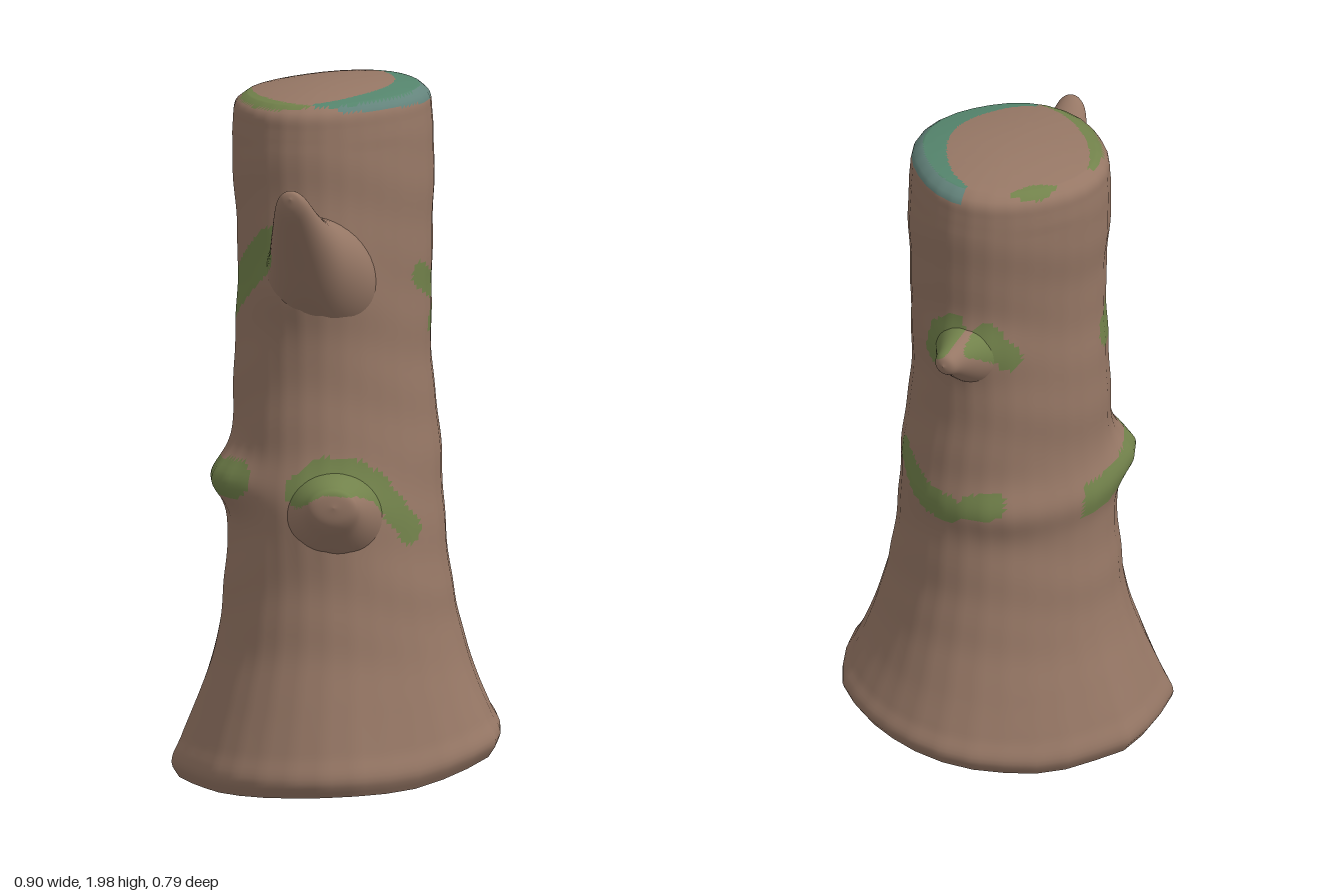
import * as THREE from 'three';

const mat = (name, color) => {
  const m = new THREE.MeshStandardMaterial({ color });
  m.name = name;
  return m;
};
const V = (x, y, z) => new THREE.Vector3(x, y, z);
const BARK = 0, MOSS = 1, TEAL = 2, GREY = 3, DEEP = 4, OLIVE = 5, DARK = 6;

// Trunk extents: y, min x, max x, min z, max z
const ROWS = [
  [0, -.43, .425, -.375, .355], [.04, -.45, .447, -.395, .375], [.12, -.428, .422, -.377, .357],
  [.25, -.39, .378, -.345, .33], [.4, -.35, .338, -.31, .30], [.6, -.327, .302, -.287, .277],
  [.8, -.314, .287, -.272, .25], [1, -.302, .282, -.267, .226], [1.2, -.292, .262, -.27, .212],
  [1.5, -.282, .264, -.262, .207], [1.9, -.287, .27, -.288, .20],
  [1.95, -.277, .26, -.278, .19], [1.97, -.252, .237, -.254, .17],
];
const extents = new THREE.CubicInterpolant(ROWS.map(r => r[0]), ROWS.flatMap(r => r.slice(1)), 4);

// Irregular root outline, as radius by angle in a unit box
const ROOT = [
  [-.45, -.17], [-.43, -.22], [-.33, -.28], [-.3, -.36], [-.2, -.37], [-.08, -.395], [.1, -.38],
  [.26, -.335], [.34, -.27], [.4, -.18], [.445, -.04], [.445, .09], [.4, .18], [.325, .305], [.235, .345],
  [0, .375], [-.19, .365], [-.4, .19], [-.445, -.05],
].map(([x, z]) => {
  const a = (x + .0025) / .4475, b = (z + .01) / .385;
  return [Math.atan2(b, a), Math.hypot(a, b)];
}).sort((p, q) => p[0] - q[0]);
function rootRadius(angle) {
  const t = Math.atan2(Math.sin(angle), Math.cos(angle)), n = ROOT.length;
  let k = ROOT.findIndex(p => p[0] > t);
  if (k < 0) k = n;
  const p = k === 0 ? [ROOT[n - 1][0] - 2 * Math.PI, ROOT[n - 1][1]] : ROOT[k - 1];
  const q = k === n ? [ROOT[0][0] + 2 * Math.PI, ROOT[0][1]] : ROOT[k];
  return p[1] + (q[1] - p[1]) * (t - p[0]) / (q[0] - p[0]);
}

// Knots swelling out of the trunk: direction, height, size, angular and vertical spread
const KNOTS = [
  [-1, -.2, .88, .065, .45, .07], [-.5, -.85, .86, .025, .5, .07], [.3, -1, .88, .03, .5, .08],
  [1, -.3, .9, .012, .5, .08], [.7, -.75, 1.42, .03, .45, .1], [-.6, .75, 1.45, .045, .55, .14],
  [-.46, .89, .8, .035, .5, .12],
].map(([x, z, ...rest]) => [Math.atan2(z, x), ...rest]);

function trunkPoint(angle, y, s) {
  const [x0, x1, z0, z1] = extents.evaluate(y);
  const c = Math.cos(angle), n = Math.sin(angle);
  const round = Math.pow(Math.abs(c) ** 2.3 + Math.abs(n) ** 2.3, -1 / 2.3);
  let r = THREE.MathUtils.lerp(rootRadius(angle), round, THREE.MathUtils.smoothstep(y, .03, .4));
  for (const [a, h, amp, wa, wy] of KNOTS) {
    const d = Math.atan2(Math.sin(angle - a), Math.cos(angle - a)) / wa;
    r += amp / .28 * Math.exp(-d * d - ((y - h) / wy) ** 2);
  }
  r += .005 * Math.sin(y * 33 + 2 * Math.sin(angle * 2)) * THREE.MathUtils.smoothstep(y, .2, .6) * (y < 1.85 ? 1 : 0);
  const x = (x0 + x1) / 2 + (x1 - x0) / 2 * r * c * s;
  const z = (z0 + z1) / 2 + (z1 - z0) / 2 * r * n * s;
  // sloping foot and slightly domed, tilted top
  const foot = (.012 + .1 * Math.pow(Math.max(0, x) / .44, 1.25) + .015 * (z / .38) ** 2) * Math.max(0, 1 - y / .6);
  const top = Math.max(0, (y - 1.7) / .27) * .05 * x + .025 * (1 - s * s);
  return V(x, y + foot + top, z);
}

// A ring of flat facets, each split finely so colours can cross it
const FACETS = 30, SPLIT = 4;
function ring(y, s) {
  const corners = Array.from({ length: FACETS }, (_, j) => trunkPoint(j / FACETS * Math.PI * 2, y, s));
  return corners.flatMap((p, j) => Array.from({ length: SPLIT }, (_, k) =>
    p.clone().lerp(corners[(j + 1) % FACETS], k / SPLIT)));
}

// Stroke: a half width and a path on a flat map
const stroke = ([r, ...path], sx = 1) => ({ r, path: path.map(([x, y]) => V(x * sx, y, 0)) });
const onStroke = (p, { r, path }) => path.slice(1).some((b, i) =>
  new THREE.Line3(path[i], b).closestPointToPoint(p, true, V()).distanceTo(p) < r);

// Moss around the trunk: half width, then degrees around and height
const ARC = .3 * Math.PI / 180;
const MOSS_STROKES = [
  [.042, [137, .88], [126, .93], [108, .92], [94, .88], [73, .75]],
  [.055, [175, .89], [194, .88], [223, .86], [236, .86]],
  [.048, [6, .96], [-20, .89], [-34, .88]], [.042, [-49, .9], [-61, .91]],
  [.036, [53, 1.46], [36, 1.42], [26, 1.4]], [.026, [36, 1.31], [30, 1.33]],
  [.04, [-36, 1.51], [-26, 1.47], [-21, 1.39]], [.042, [-56, 1.49], [-72, 1.41]],
  [.058, [157, 1.56], [182, 1.46], [206, 1.37]],
].map(s => stroke(s, ARC));

const degrees = (x, z) => {
  const d = Math.atan2(z, x) * 180 / Math.PI;
  return d < -120 ? d + 360 : d;
};

// Crescents of moss and lichen along the top rim
function paintTop(p) {
  const x = (p.x + .01) / .27, z = (p.z + .043) / .243, a = degrees(x, z);
  const f = Math.pow(Math.abs(x) ** 2.3 + Math.abs(z) ** 2.3, 1 / 2.3);
  const swell = (from, to) => Math.sin(Math.PI * THREE.MathUtils.clamp((a - from) / (to - from), 0, 1));
  if (Math.abs(f - .88) < .085 * Math.sqrt(swell(130, 226))) return MOSS;
  if (Math.abs(f - .88) < .09 * swell(-106, -70)) return MOSS;
  if (a < -41 || a > 128) return BARK;
  if (f > .9) return p.y > 1.945 && a < 112 ? GREY : BARK;
  return f > .85 - .22 * swell(-41, 135) ? TEAL : BARK;
}
function paint(p) {
  if (p.y > 1.9) return paintTop(p);
  const m = V(degrees(p.x, p.z + .03) * ARC, p.y, 0);
  return MOSS_STROKES.some(s => onStroke(m, s)) ? MOSS : BARK;
}

// Underside: olive, deep green and dark rot, with bark-coloured veins
const VEINS = [
  [.04, [-.34, -.26], [-.24, -.21]], [.026, [-.24, -.21], [-.12, -.18], [.06, -.18]],
  [.022, [-.22, -.2], [-.24, -.08], [-.19, .03]], [.02, [-.14, -.18], [-.09, -.04]],
  [.022, [-.08, -.17], [-.02, -.27]],
].map(s => stroke(s));
function paintUnder(p) {
  const across = p.x - p.z, q = (p.x + p.z) / Math.SQRT2 + .025 * Math.sin(14 * across);
  if (across > .25 && Math.hypot(p.x / .44, p.z / .38) > .93) return TEAL;
  if (q > .16) return OLIVE;
  if (q > .03 + Math.min(0, across * .3 + .05) || across > .43) return DEEP;
  return VEINS.some(v => onStroke(V(p.x, p.z, 0), v)) ? BARK : DARK;
}

// Closed rings of points joined into one surface, one group per colour
function loft(name, rings, materials, colorAt) {
  const n = rings[0].length, pts = rings.flat(), buckets = materials.map(() => []);
  const add = (a, b, c) => {
    const mid = V().add(pts[a]).add(pts[b]).add(pts[c]).divideScalar(3);
    buckets[colorAt(mid)].push(a, b, c);
  };
  for (let i = 0; i < rings.length - 1; i++) {
    for (let j = 0; j < n; j++) {
      const a = i * n + j, b = i * n + (j + 1) % n;
      add(a, a + n, b);
      add(b, a + n, b + n);
    }
  }
  const g = new THREE.BufferGeometry().setFromPoints(pts);
  g.setIndex(buckets.flat());
  let start = 0;
  buckets.forEach((b, m) => {
    if (b.length) g.addGroup(start, b.length, m);
    start += b.length;
  });
  g.computeVertexNormals();
  const mesh = new THREE.Mesh(g, materials);
  mesh.name = name;
  return mesh;
}

// Branch stations: centre x, y, z, half width, half height
function branch(name, dx, dz, stations, materials) {
  const k = Math.hypot(dx, dz), rings = [], steps = 40;
  const data = new THREE.CubicInterpolant(stations.map((_, i) => i), stations.flat(), 5);
  for (let i = 0; i <= steps; i++) {
    const [x, y, z, w, h] = data.evaluate(i / steps * (stations.length - 1));
    rings.push(Array.from({ length: 48 }, (_, j) => {
      const t = j / 48 * Math.PI * 2, c = Math.cos(t) * Math.max(w, 0);
      return V(x - dz / k * c, y + Math.sin(t) * Math.max(h, 0), z + dx / k * c);
    }));
  }
  return loft(name, rings, materials, paint);
}

export function createModel() {
  const materials = [
    mat('bark', 0x967765), mat('moss', 0x72824b), mat('teal lichen', 0x55856d), mat('grey lichen', 0x64847c),
    mat('deep green', 0x4c745e), mat('olive', 0x5c6338), mat('dark rot', 0x364449),
  ];
  const model = new THREE.Group();
  model.name = 'treeStump';

  // Trunk side, rounded rim and cut top
  const rings = [];
  for (let i = 0; i <= 130; i++) rings.push(ring(1.9 * i / 130, 1));
  for (let i = 1; i <= 8; i++) rings.push(ring(1.9 + .07 * i / 8, 1));
  for (let i = 1; i <= 40; i++) rings.push(ring(1.97, 1 - i / 40));
  model.add(loft('trunk', rings, materials, paint));

  // Underside
  const under = Array.from({ length: 41 }, (_, i) => ring(0, i / 40).map(p => {
    p.y = Math.max(p.y - .025 * (1 - (i / 40) ** 2), 0);
    return p;
  }));
  model.add(loft('underside', under, materials, paintUnder));

  // Branches
  model.add(branch('longBranch', -.65, .75, [
    [-.07, 1.42, .03, .16, .18], [-.14, 1.47, .13, .155, .17], [-.22, 1.54, .21, .11, .13],
    [-.285, 1.63, .285, .078, .086], [-.34, 1.718, .352, .05, .052], [-.358, 1.747, .376, .03, .03],
    [-.364, 1.757, .384, 0, 0],
  ], materials));
  model.add(branch('frontStub', -.46, .89, [
    [-.1, .77, .14, .16, .16], [-.155, .805, .235, .125, .12], [-.187, .83, .295, .085, .078],
    [-.2, .848, .328, .06, .048], [-.203, .852, .338, 0, 0],
  ], materials));
  model.add(branch('backStub', .7, -.72, [
    [.14, 1.39, -.15, .12, .13], [.2, 1.42, -.21, .08, .09], [.25, 1.445, -.255, .045, .052],
    [.28, 1.455, -.283, .028, .03], [.29, 1.458, -.292, 0, 0],
  ], materials));
  return model;
}
